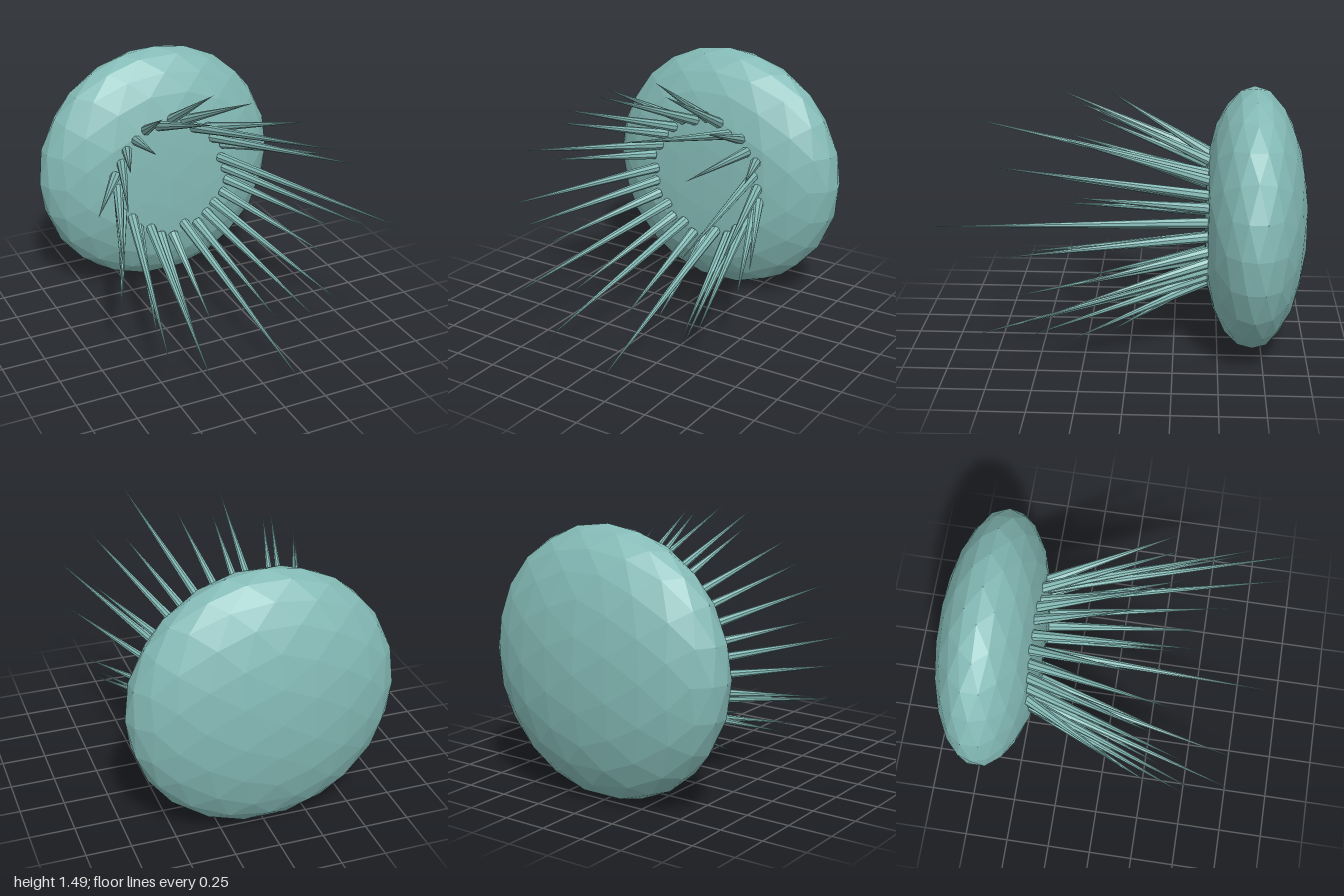
import * as THREE from 'three';

const CENTER = new THREE.Vector3(0, 0.745, -0.69);

// Split every triangle in four and push the new corners onto the unit sphere
function subdivide(geometry) {
  const src = geometry.attributes.position;
  const points = [];
  const mid = (p, q) => p.clone().add(q).normalize();
  for (let i = 0; i < src.count; i += 3) {
    const [a, b, c] = [0, 1, 2].map((j) => new THREE.Vector3().fromBufferAttribute(src, i + j));
    const ab = mid(a, b), bc = mid(b, c), ca = mid(c, a);
    points.push(a, ab, ca, ab, b, bc, ca, bc, c, ab, bc, ca);
  }
  return new THREE.BufferGeometry().setFromPoints(points);
}

// Faceted disc-like body with a nearly flat front
function bodyGeometry() {
  const geometry = subdivide(new THREE.IcosahedronGeometry(1, 1));
  const pos = geometry.attributes.position;
  for (let i = 0; i < pos.count; i++) {
    let z = pos.getZ(i) * 0.308;
    if (z > 0.25) z = 0.25 + (z - 0.25) * 0.35;
    pos.setXYZ(i, pos.getX(i) * 0.745, pos.getY(i) * 0.745, z);
  }
  geometry.computeVertexNormals();
  return geometry;
}

// Faceted cone from base to tip
function spike(base, tip, material) {
  const axis = tip.clone().sub(base);
  const geometry = new THREE.ConeGeometry(0.031, axis.length(), 8).toNonIndexed();
  geometry.computeVertexNormals();
  const mesh = new THREE.Mesh(geometry, material);
  mesh.position.copy(base).addScaledVector(axis, 0.5);
  mesh.quaternion.setFromUnitVectors(new THREE.Vector3(0, 1, 0), axis.normalize());
  return mesh;
}

export function createModel() {
  const model = new THREE.Group();
  const teal = new THREE.MeshStandardMaterial({ color: 0x84bab6 });
  teal.name = 'pale teal';

  const body = new THREE.Mesh(bodyGeometry(), teal);
  body.name = 'body';
  body.position.copy(CENTER);
  model.add(body);

  // Ring of spikes flaring forward; z of each tip, clockwise from the top
  const tipZ = [
    0.12, 0.27, 0.89, 0.33, 0.73, 0.28, 1.0, 0.66, 0.3, 0.34, 0.62, 0.56, 0.35, 0.95,
    0.13, 0.24, 0.78, 0.35, 0.78, 0.33, 0.5, 0.57, 0.17, 0.47, 0.3, 0.38, 0.15, 0.45,
  ];
  const spikes = new THREE.Group();
  spikes.name = 'spikes';
  tipZ.forEach((z, i) => {
    const angle = (i / tipZ.length) * Math.PI * 2;
    const at = (r, depth) =>
      new THREE.Vector3(Math.sin(angle) * r, CENTER.y + Math.cos(angle) * r, depth);
    const mesh = spike(at(0.385 - 0.06 * z, -0.435), at(0.725, z), teal);
    mesh.name = 'spike' + (i + 1);
    spikes.add(mesh);
  });
  model.add(spikes);
  return model;
}
